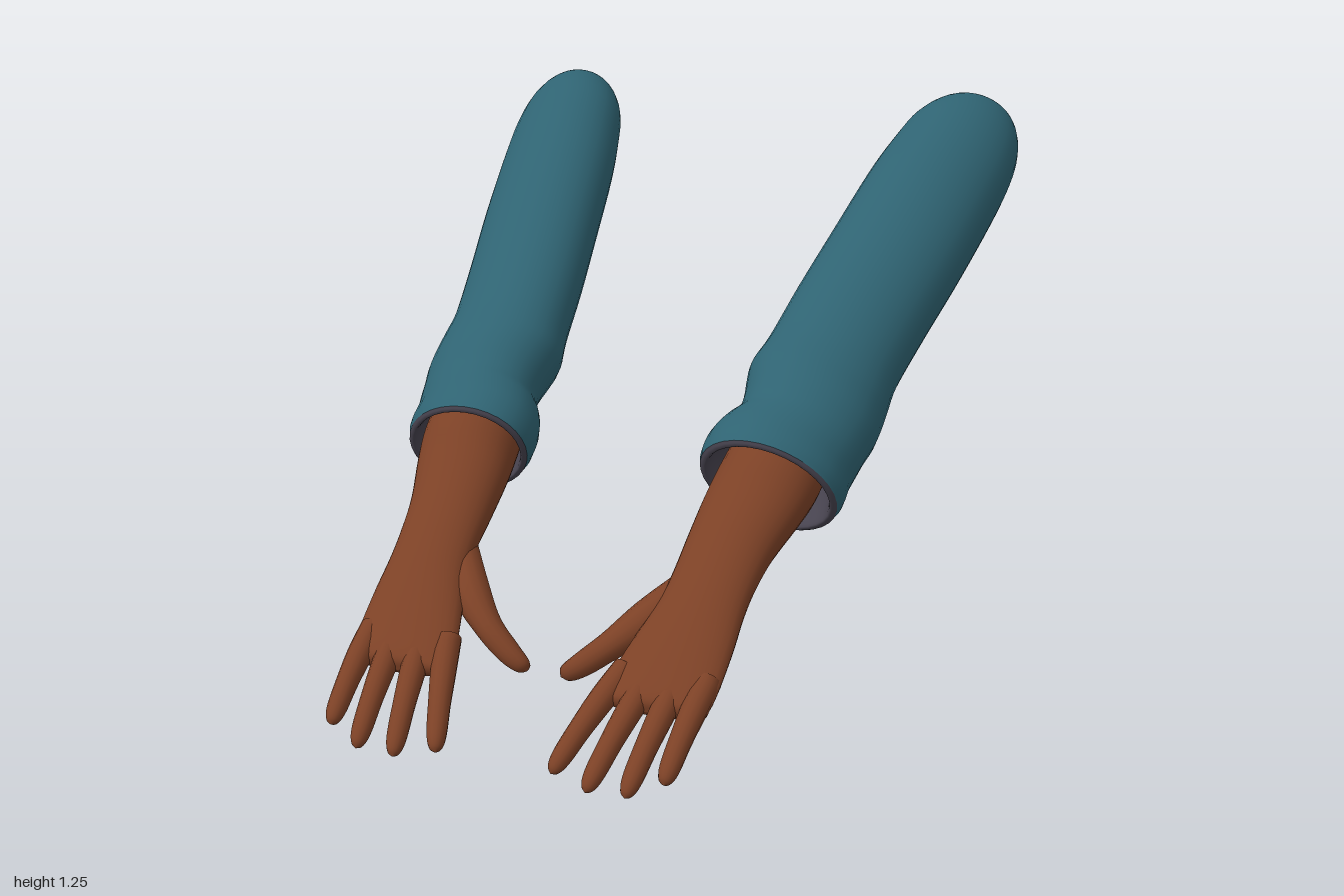
import * as THREE from 'three';

const sleeveMat = new THREE.MeshStandardMaterial({ name: 'teal cloth', color: 0x2f6372 });
const liningMat = new THREE.MeshStandardMaterial({ name: 'dark lining', color: 0x47434f });
const skinMat = new THREE.MeshStandardMaterial({ name: 'brown skin', color: 0x7c4126 });

const V = (x, y, z) => new THREE.Vector3(x, y, z);
const X_AXIS = V(1, 0, 0);
const ARM_UP = V(0, 0.868, 0.497); // perpendicular to the sloping arm
const CUFF_UP = V(-0.2, 0.868, 0.497); // same, with the slight roll of the sleeve

// Smooth loft through rows of [centre, half width, half thickness], running along a x b
function loft(rows, a, b, side, steps, segments) {
  const centres = new THREE.CatmullRomCurve3(rows.map(r => r[0]), false, 'catmullrom', 0.5);
  const sizes = new THREE.CatmullRomCurve3(rows.map(r => V(r[1], r[2], 0)), false, 'catmullrom', 0.5);
  const pos = [], idx = [];
  for (let i = 0; i <= steps; i++) {
    const c = centres.getPoint(i / steps), size = sizes.getPoint(i / steps);
    for (let j = 0; j < segments; j++) {
      const t = (j / segments) * Math.PI * 2;
      const p = c.clone()
        .addScaledVector(a, Math.cos(t) * Math.max(size.x, 0))
        .addScaledVector(b, Math.sin(t) * Math.max(size.y, 0));
      pos.push(p.x * side, p.y, p.z);
      if (i === steps) continue;
      const k = (j + 1) % segments;
      const p0 = i * segments + j, p1 = i * segments + k, p2 = p0 + segments, p3 = p1 + segments;
      if (side > 0) idx.push(p0, p1, p2, p1, p3, p2);
      else idx.push(p0, p2, p1, p1, p2, p3);
    }
  }
  const g = new THREE.BufferGeometry();
  g.setAttribute('position', new THREE.Float32BufferAttribute(pos, 3));
  g.setIndex(idx);
  g.computeVertexNormals();
  return g;
}

// Point at distance u beyond the cuff along the arm, raised by n
const along = (u, x, n = 0) => V(x, 0.485 - 0.497 * u + 0.868 * n, 0.245 + 0.868 * u + 0.497 * n);

// Distance from cuff, centre x, half width, half thickness: shoulder to cuff
const SLEEVE = [
  [-1.436, 0.6, 0, 0], [-1.42, 0.597, 0.065, 0.06], [-1.38, 0.59, 0.11, 0.1],
  [-1.3, 0.578, 0.145, 0.13], [-1.19, 0.563, 0.161, 0.143], [-1.05, 0.54, 0.168, 0.148],
  [-0.82, 0.504, 0.169, 0.145], [-0.6, 0.467, 0.166, 0.142], [-0.42, 0.441, 0.163, 0.14],
  [-0.33, 0.431, 0.17, 0.148], [-0.28, 0.433, 0.167, 0.151], [-0.22, 0.436, 0.161, 0.145],
  [-0.17, 0.43, 0.157, 0.14], [-0.13, 0.414, 0.166, 0.145], [-0.08, 0.4, 0.17, 0.154],
  [-0.03, 0.397, 0.171, 0.157], [0, 0.395, 0.163, 0.154],
];
// Folded hem, turning back into the sleeve
const LINING = [
  [0, 0.395, 0.163, 0.154], [0.006, 0.395, 0.154, 0.145], [0, 0.395, 0.145, 0.135],
  [-0.05, 0.397, 0.137, 0.125], [-0.1, 0.402, 0.12, 0.105],
];
// As above, with a height offset last: forearm to knuckles
const FOREARM = [
  [-0.1, 0.4, 0.122, 0.11, 0], [0, 0.39, 0.124, 0.105, 0], [0.08, 0.378, 0.12, 0.09, 0],
  [0.2, 0.36, 0.106, 0.074, 0], [0.3, 0.352, 0.1, 0.062, 0], [0.38, 0.346, 0.102, 0.056, -0.004],
  [0.47, 0.335, 0.115, 0.05, -0.011], [0.57, 0.322, 0.126, 0.042, -0.018],
  [0.63, 0.315, 0.127, 0.035, -0.021], [0.655, 0.312, 0.115, 0.024, -0.022], [0.665, 0.312, 0, 0, -0.022],
];
const rowsOf = table => table.map(([u, x, w, h, n]) => [along(u, x, n), w, h]);

// Base x, tip x, y, z
const FINGERS = {
  indexFinger: [0.222, 0.14, 0.03, 0.965],
  middleFinger: [0.286, 0.232, 0.016, 0.993],
  ringFinger: [0.352, 0.324, 0.02, 0.993],
  littleFinger: [0.416, 0.402, 0.052, 0.965],
};

// Finger or thumb along a few points, with one radius per point
function digit(points, radii, side) {
  const t = points[points.length - 1].clone().sub(points[0]).normalize();
  const b = t.clone().cross(X_AXIS).normalize();
  const a = b.clone().cross(t);
  return loft(points.map((p, i) => [p, radii[i], radii[i]]), a, b, side, 24, 14);
}

function createArm(side) {
  const arm = new THREE.Group();
  arm.name = side > 0 ? 'leftArm' : 'rightArm';
  const add = (name, geometry, material) => {
    const mesh = new THREE.Mesh(geometry, material);
    mesh.name = name;
    arm.add(mesh);
  };

  add('sleeve', loft(rowsOf(SLEEVE), X_AXIS, CUFF_UP, side, 64, 32), sleeveMat);
  add('cuffLining', loft(rowsOf(LINING), X_AXIS, CUFF_UP, side, 16, 32), liningMat);
  add('forearmAndPalm', loft(rowsOf(FOREARM), X_AXIS, ARM_UP, side, 44, 28), skinMat);

  // Fingers taper and arch slightly
  const stops = [0, 0.3, 0.6, 0.85, 0.96, 1];
  const radii = [0.031, 0.03, 0.026, 0.023, 0.015, 0];
  for (const [name, [bx, tx, ty, tz]] of Object.entries(FINGERS)) {
    const base = along(0.56, bx, -0.018), tip = V(tx, ty, tz);
    const points = stops.map(s => base.clone().lerp(tip, s)
      .addScaledVector(ARM_UP, 0.01 * Math.sin(s * Math.PI)));
    add(name, digit(points, radii, side), skinMat);
  }

  // Thumb spreading inwards from the wrist
  const thumb = [V(0.3, 0.315, 0.49), V(0.225, 0.258, 0.59), V(0.155, 0.205, 0.65),
    V(0.095, 0.158, 0.672), V(0.055, 0.13, 0.68), V(0.042, 0.121, 0.682)];
  add('thumb', digit(thumb, [0.045, 0.046, 0.034, 0.029, 0.02, 0], side), skinMat);
  return arm;
}

export function createModel() {
  const model = new THREE.Group();
  model.name = 'sleevedArms';
  model.add(createArm(1), createArm(-1));
  return model;
}
